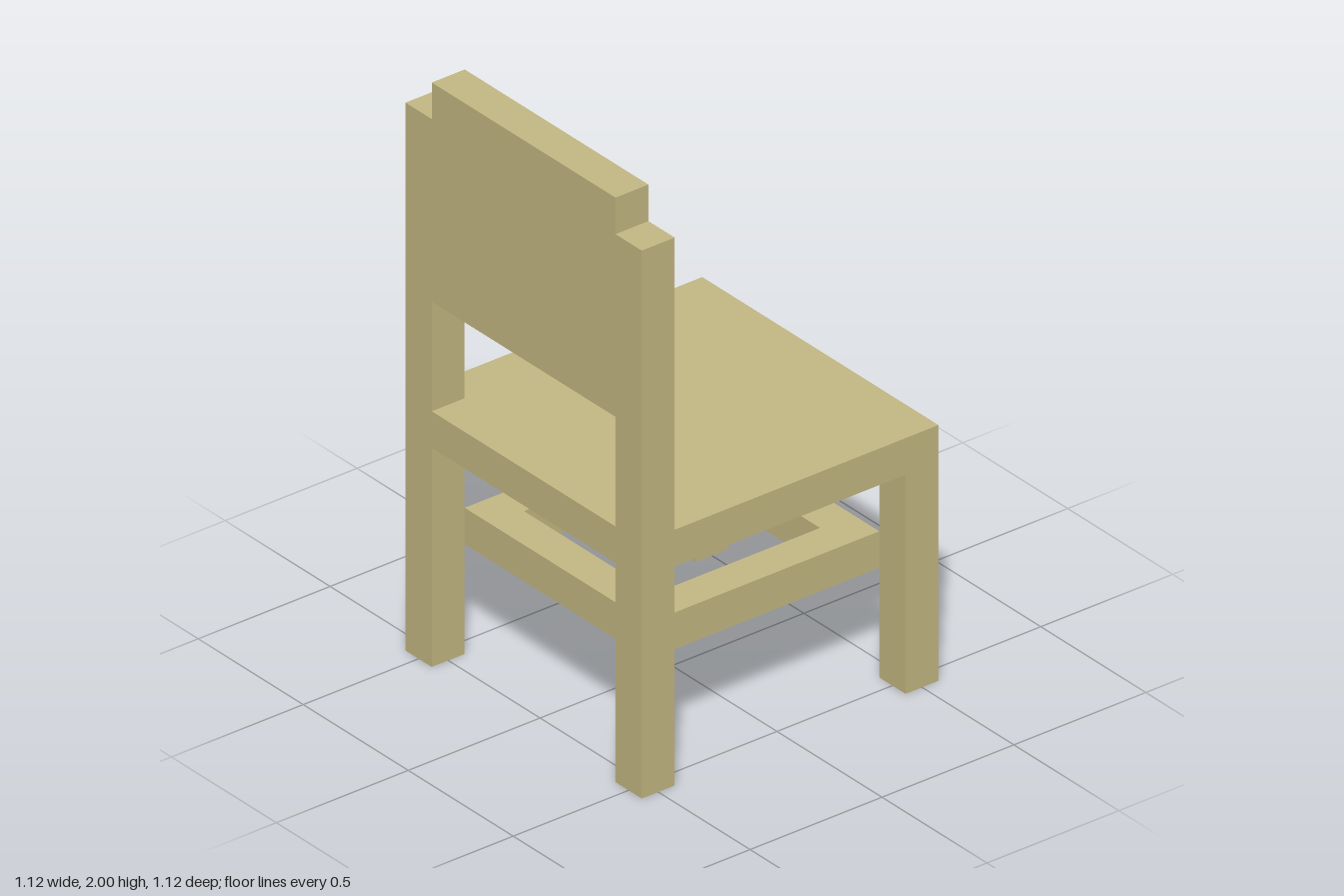
import * as THREE from 'three';

const U = 0.125; // every part is laid out on this unit

export function createModel() {
  const chair = new THREE.Group();
  chair.name = 'chair';
  const wood = new THREE.MeshStandardMaterial({ color: 0xc6ba84 });
  wood.name = 'pale wood';

  // Box from its size, centre x/z and bottom height, all in units
  function block(name, w, h, d, x, bottom, z) {
    const mesh = new THREE.Mesh(new THREE.BoxGeometry(w * U, h * U, d * U), wood);
    mesh.position.set(x * U, (bottom + h / 2) * U, z * U);
    mesh.name = name;
    chair.add(mesh);
  }

  // Seat
  block('seat', 9, 1, 9, 0, 6, 0);

  for (const side of [-1, 1]) {
    const label = side > 0 ? 'front' : 'rear';
    // Legs
    block(label + 'LegLeftEnd', 1, 6, 1, 4, 0, side * 4);
    block(label + 'LegRightEnd', 1, 6, 1, -4, 0, side * 4);
    // Posts of the backrest
    block(label + 'BackPost', 1, 8, 1, -4, 7, side * 4);
    // Stretcher ring set inside the legs
    block(label + 'Stretcher', 7, 1, 1, 0, 3, side * 3);
    block(side > 0 ? 'leftStretcher' : 'rightStretcher', 1, 1, 5, side * 3, 3, 0);
  }

  // Back panel, rising above the posts
  block('backPanel', 1, 6, 7, -4, 10, 0);

  return chair;
}
